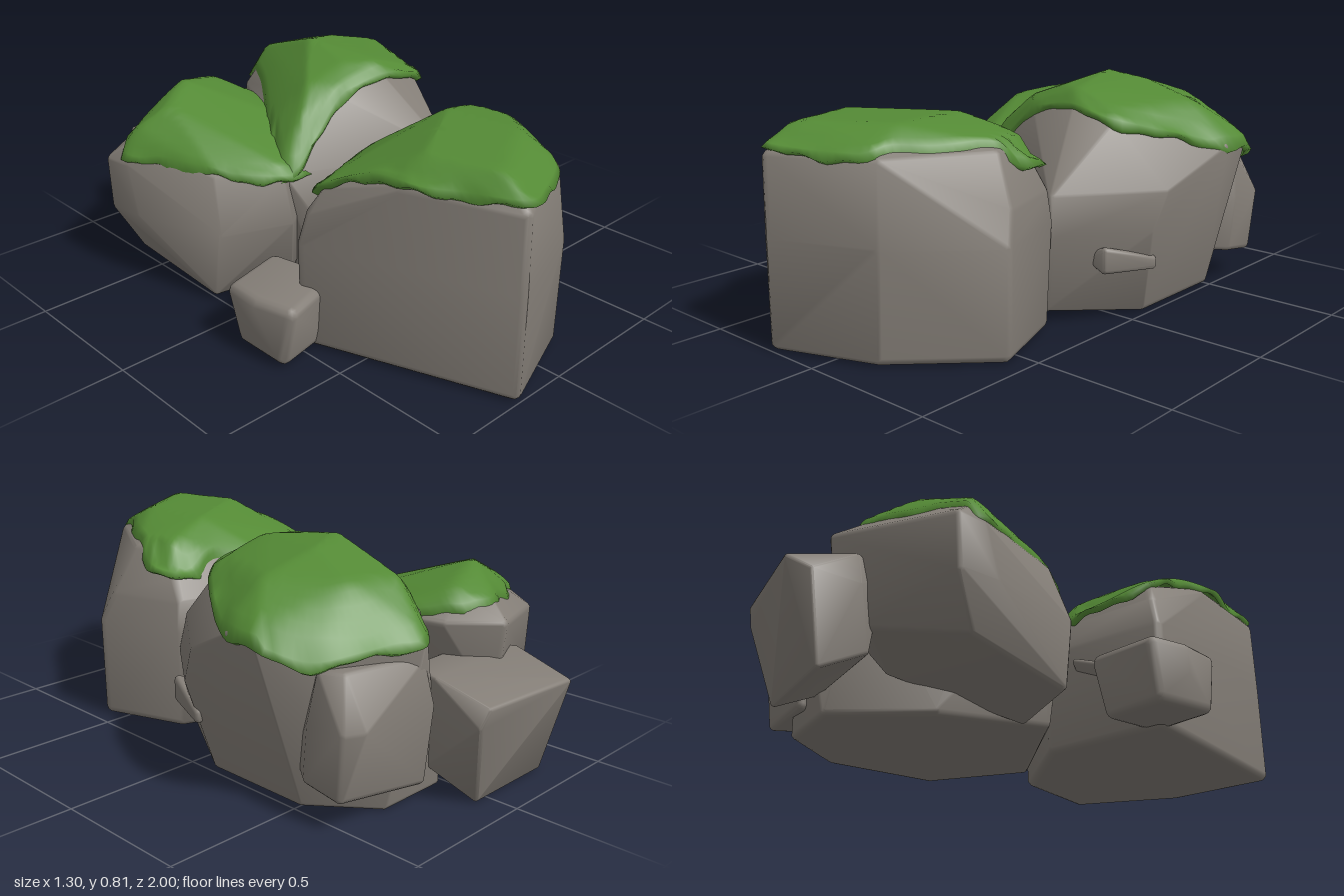
import * as THREE from 'three';
import { toCreasedNormals } from 'three/addons/utils/BufferGeometryUtils.js';
import { ConvexGeometry } from 'three/addons/geometries/ConvexGeometry.js';

const stone = new THREE.MeshStandardMaterial({ color: 0x847e77 });
stone.name = 'warm grey stone';
const green = new THREE.MeshStandardMaterial({ color: 0x548a35, side: THREE.DoubleSide });
green.name = 'moss green';

// Rounded boulder: hull of small spheres centred on the given corners
function rock(name, corners, r = 0.02) {
  const ball = new THREE.IcosahedronGeometry(r, 1).attributes.position;
  const points = [];
  for (const [x, y, z] of corners) {
    for (let i = 0; i < ball.count; i++) {
      points.push(new THREE.Vector3(x + ball.getX(i), y + ball.getY(i), z + ball.getZ(i)));
    }
  }
  const mesh = new THREE.Mesh(toCreasedNormals(new ConvexGeometry(points), 0.7), stone);
  mesh.name = name;
  return mesh;
}

// Corners of one horizontal level
const level = (y, ...xz) => xz.map(([x, z]) => [x, y, z]);

// Moss blanket: rings spread from a centre and lie on the rock below, then hang down to the rim
function moss(name, base, [cx, cz], rim) {
  const n = 96, rings = 14, thickness = 0.032;
  const ray = new THREE.Raycaster();
  const down = new THREE.Vector3(0, -1, 0);
  const surface = (x, z, fallback) => {
    ray.set(new THREE.Vector3(x, 2, z), down);
    const hit = ray.intersectObject(base)[0];
    return hit ? Math.max(hit.point.y, fallback) : fallback;
  };
  const curve = new THREE.CatmullRomCurve3(rim.map(p => new THREE.Vector3(...p)), true, 'centripetal');
  const edge = curve.getSpacedPoints(n).slice(0, n);
  const pos = [cx, surface(cx, cz, 0) + thickness, cz], index = [];
  for (let k = 1; k <= rings + 2; k++) {
    // The last two rings are the hanging rim and its tucked underside
    const s = k <= rings ? 0.96 * k / rings : k === rings + 1 ? 1 : 0.95;
    edge.forEach((e, i) => {
      const x = cx + (e.x - cx) * s, z = cz + (e.z - cz) * s;
      const ragged = 0.008 * Math.sin(i * 0.55) + 0.005 * Math.sin(i * 1.3 + 1);
      let y = e.y + ragged;
      if (k <= rings) y = surface(x, z, e.y) + thickness * (1 - 0.5 * s ** 6);
      else if (k === rings + 2) y -= 0.012;
      pos.push(x, y, z);
    });
  }
  for (let i = 0; i < n; i++) {
    const j = (i + 1) % n;
    index.push(0, 1 + i, 1 + j);
    for (let k = 0; k <= rings; k++) {
      const a = 1 + k * n, b = a + n;
      index.push(a + i, b + i, b + j, a + i, b + j, a + j);
    }
  }
  const geo = new THREE.BufferGeometry();
  geo.setAttribute('position', new THREE.Float32BufferAttribute(pos, 3));
  geo.setIndex(index);
  geo.computeVertexNormals();
  const mesh = new THREE.Mesh(geo, green);
  mesh.name = name;
  return mesh;
}

export function createModel() {
  const group = new THREE.Group();
  group.name = 'mossyRocks';

  // Large boulder in front, its top falling away to the back
  const frontRock = rock('frontRock', [
    ...level(0.03, [-0.2, 0.97], [0.14, 0.84], [0.415, 0.57], [0.31, 0.28], [-0.04, 0.14], [-0.445, 0.29]),
    ...level(0.38, [-0.2, 0.97], [0.15, 0.84], [0.42, 0.57], [0.32, 0.27], [-0.04, 0.13], [-0.45, 0.29]),
    ...level(0.48, [0.39, 0.53], [0.31, 0.28], [-0.05, 0.17], [-0.42, 0.3]),
    ...level(0.55, [-0.38, 0.33], [0.3, 0.32], [-0.08, 0.23]),
    ...level(0.635, [-0.2, 0.965], [0.13, 0.81], [0.31, 0.5], [0.27, 0.36], [-0.33, 0.6]),
    ...level(0.685, [-0.19, 0.88], [-0.25, 0.62], [0.08, 0.42], [0.1, 0.7]),
  ], 0.028);
  group.add(frontRock);
  group.add(moss('frontMoss', frontRock, [-0.08, 0.52], [
    [-0.2, 0.67, 1.0], [-0.09, 0.66, 0.965], [0.12, 0.65, 0.85], [0.15, 0.64, 0.78], [0.23, 0.64, 0.67],
    [0.3, 0.63, 0.53], [0.375, 0.59, 0.34], [0.31, 0.57, 0.26], [0.13, 0.56, 0.275], [0.04, 0.53, 0.235],
    [-0.04, 0.52, 0.18], [-0.15, 0.5, 0.15], [-0.3, 0.5, 0.18], [-0.41, 0.56, 0.29], [-0.37, 0.65, 0.5],
    [-0.35, 0.66, 0.7], [-0.29, 0.66, 0.8],
  ]));

  // Tall leaning boulder behind, with a shoulder running down over the lower one
  const tallRock = rock('tallRock', [
    ...level(0.06, [0.29, 0.21], [-0.15, 0.02]),
    ...level(0.02, [0.46, -0.1], [0.46, -0.5], [0.3, -0.7], [0.05, -0.7], [-0.15, -0.4]),
    ...level(0.32, [0.33, 0.23], [-0.2, 0.03], [0.53, -0.04]),
    ...level(0.45, [0.31, 0.21], [0.55, -0.1], [-0.25, -0.05]),
    ...level(0.54, [0.49, -0.61], [0.2, -0.75], [-0.16, -0.2]),
    ...level(0.575, [0.62, -0.46], [0.62, -0.35], [-0.07, -0.33], [0.05, -0.6], [-0.15, -0.08]),
    ...level(0.67, [0.37, -0.04], [0.02, -0.05], [-0.06, -0.13], [0.15, -0.6], [0.32, -0.56]),
    ...level(0.68, [0.48, -0.35]),
    ...level(0.725, [0.2, -0.05], [0.1, -0.12]),
    [0.13, 0.757, -0.33], [0.27, 0.735, -0.36],
  ]);
  group.add(tallRock);
  group.add(moss('tallMoss', tallRock, [0.15, -0.3], [
    [0.2, 0.71, 0.0], [0.38, 0.68, 0.01], [0.5, 0.64, -0.11], [0.58, 0.61, -0.22], [0.645, 0.57, -0.35],
    [0.645, 0.55, -0.5], [0.56, 0.51, -0.62], [0.42, 0.53, -0.71], [0.3, 0.54, -0.75], [0.23, 0.54, -0.785],
    [0.15, 0.55, -0.74], [0.08, 0.57, -0.62], [0.0, 0.58, -0.48], [-0.1, 0.56, -0.34], [-0.2, 0.51, -0.21],
    [-0.3, 0.44, -0.06], [-0.26, 0.45, 0.0], [-0.13, 0.55, -0.01], [0.0, 0.66, -0.02],
  ]));

  // Lower boulder, highest along its back edge
  const lowRock = rock('lowRock', [
    [-0.55, 0.12, -0.5], [-0.27, 0.2, -0.7], [-0.5, 0.04, -0.15], [-0.2, 0.04, -0.1], [-0.1, 0.15, -0.55],
    ...level(0.27, [-0.615, -0.58], [-0.6, -0.45], [-0.49, -0.12], [-0.25, -0.03], [-0.17, -0.76]),
    ...level(0.45, [-0.615, -0.59], [-0.6, -0.5], [-0.46, -0.18], [-0.27, -0.04], [0.0, -0.08]),
    ...level(0.53, [-0.165, -0.795], [-0.55, -0.51], [-0.04, -0.66], [-0.1, -0.3], [0.0, -0.5]),
    ...level(0.595, [-0.44, -0.47], [-0.12, -0.63]),
    [-0.3, 0.635, -0.57],
  ]);
  group.add(lowRock);
  group.add(moss('lowMoss', lowRock, [-0.25, -0.35], [
    [-0.22, 0.44, 0.01], [0.0, 0.46, -0.03], [0.05, 0.5, -0.3], [0.01, 0.54, -0.54], [-0.04, 0.55, -0.64],
    [-0.1, 0.56, -0.71], [-0.2, 0.56, -0.74], [-0.3, 0.56, -0.69], [-0.42, 0.54, -0.65], [-0.5, 0.52, -0.59],
    [-0.625, 0.48, -0.52], [-0.56, 0.47, -0.38], [-0.5, 0.47, -0.24], [-0.42, 0.46, -0.11], [-0.31, 0.45, -0.01],
  ]));

  // Tilted block at the back
  group.add(rock('backRock', [
    ...level(0.012, [-0.3, -0.875], [0.05, -0.875]),
    ...level(0.1, [-0.28, -0.72], [0.1, -0.72]),
    ...level(0.3, [-0.335, -0.93], [0.14, -0.94], [-0.32, -0.77]),
    ...level(0.355, [-0.27, -0.985], [0.12, -0.955]),
    ...level(0.41, [-0.29, -0.77], [0.14, -0.77], [-0.2, -0.65], [0.1, -0.65]),
  ], 0.012));

  // Slab leaning on the tall boulder
  group.add(rock('leaningSlab', [
    [0.515, 0.14, -0.58], [0.515, 0.12, -0.71], [0.18, 0.08, -0.74], [0.42, 0.16, -0.45],
    ...level(0.33, [0.52, -0.6], [0.525, -0.73], [0.47, -0.755], [0.17, -0.76]),
    ...level(0.48, [0.5, -0.62], [0.47, -0.68], [0.2, -0.74], [0.25, -0.6]),
  ]));

  // Small loose stone
  group.add(rock('looseStone', [
    ...level(0.04, [-0.6, 0.34], [-0.6, 0.16], [-0.42, 0.12], [-0.41, 0.3]),
    ...level(0.12, [-0.62, 0.25], [-0.4, 0.22]),
    ...level(0.2, [-0.59, 0.37], [-0.62, 0.25], [-0.615, 0.13], [-0.415, 0.08], [-0.385, 0.22], [-0.405, 0.31]),
  ], 0.03));

  // Stone shards wedged in the boulder sides
  group.add(rock('sideShard', [
    [0.46, 0.265, 0.11], [0.46, 0.2, 0.11], [0.525, 0.21, -0.07], [0.525, 0.19, -0.07], [0.38, 0.23, 0.1],
    [0.42, 0.2, -0.07],
  ], 0.015));
  group.add(rock('innerShard', [
    [-0.35, 0.24, 0.21], [-0.34, 0.19, 0.24], [-0.18, 0.31, 0.14], [-0.16, 0.27, 0.18], [-0.25, 0.22, 0.25],
  ], 0.012));

  return group;
}
